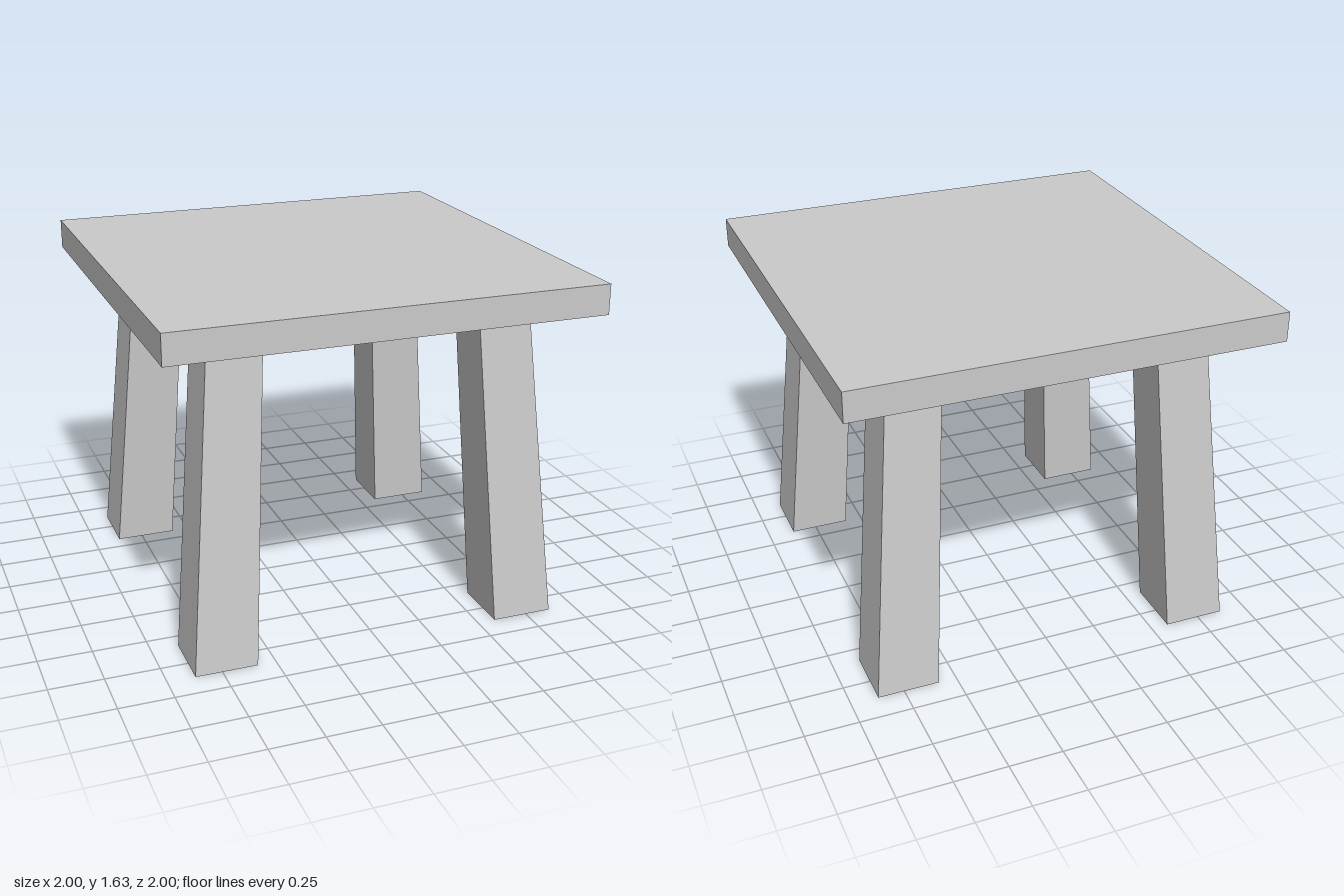
import * as THREE from 'three';

const TOP = 1.63, UNDER = 1.49;

// Tapered square leg that splays outward toward the corner (sx, sz)
function makeLeg(sx, sz) {
  const geo = new THREE.BoxGeometry(1, UNDER, 1);
  geo.translate(0, UNDER / 2, 0);
  const p = geo.attributes.position;
  for (let i = 0; i < p.count; i++) {
    const high = p.getY(i) > UNDER / 2;
    const centre = high ? 0.624 : 0.729;
    const width = high ? 0.248 : 0.288;
    p.setX(i, sx * centre + p.getX(i) * width);
    p.setZ(i, sz * centre + p.getZ(i) * width);
  }
  geo.computeVertexNormals();
  return geo;
}

export function createModel() {
  const group = new THREE.Group();
  group.name = 'stool';
  const material = new THREE.MeshStandardMaterial({ color: 0xcccccc, flatShading: true });

  // Square seat slab
  const seat = new THREE.Mesh(new THREE.BoxGeometry(2, TOP - UNDER, 2), material);
  seat.name = 'seat';
  seat.position.y = (TOP + UNDER) / 2;
  group.add(seat);

  // Four legs
  for (const [sx, side] of [[1, 'Left'], [-1, 'Right']]) {
    for (const [sz, end] of [[1, 'front'], [-1, 'back']]) {
      const leg = new THREE.Mesh(makeLeg(sx, sz), material);
      leg.name = `${end}${side}Leg`;
      group.add(leg);
    }
  }
  return group;
}
